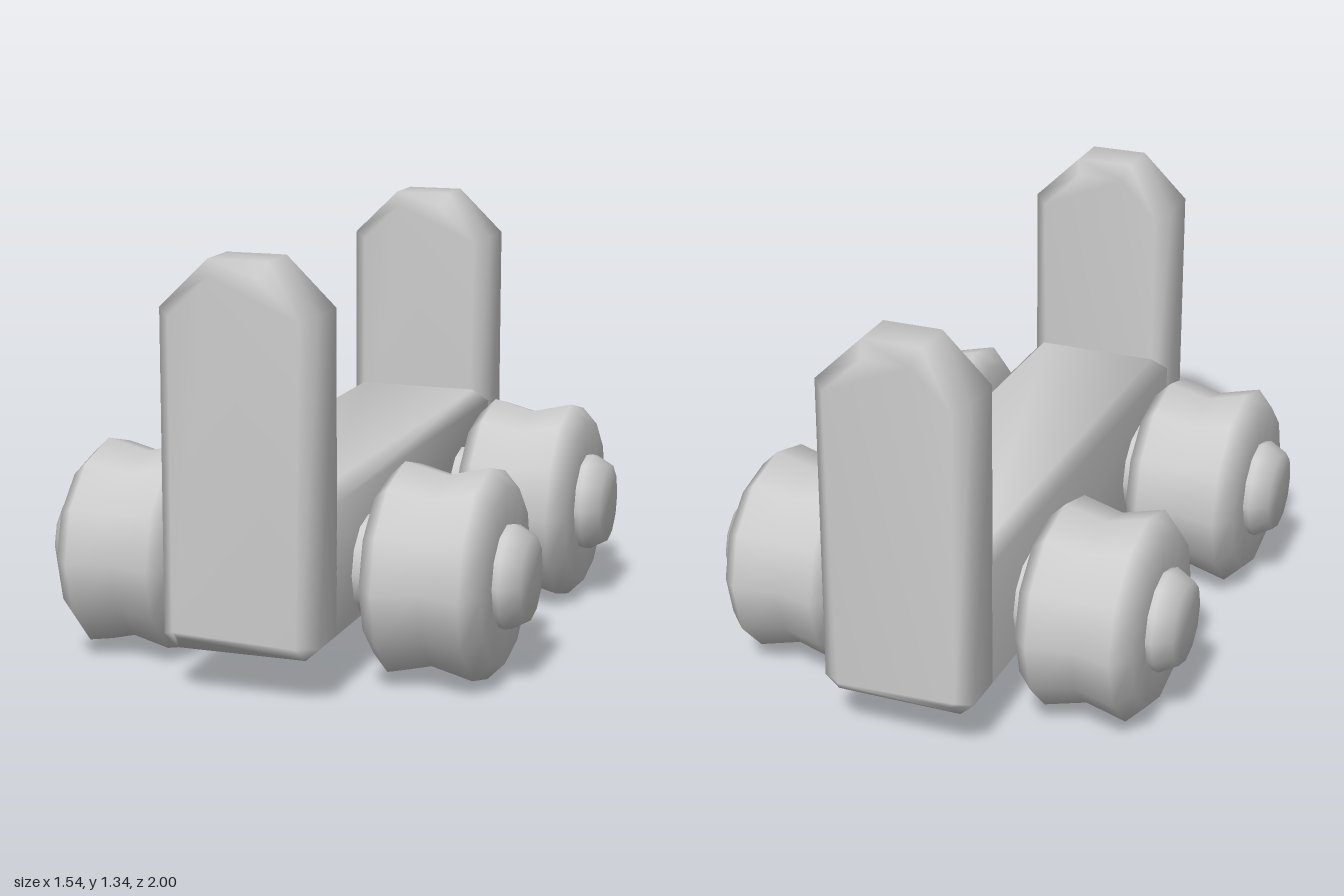
import * as THREE from 'three';
import { mergeVertices } from 'three/addons/utils/BufferGeometryUtils.js';

const material = new THREE.MeshStandardMaterial({ color: 0xcccccc });
const BEVEL = 0.045;

// Weld corners and share area-weighted normals, so bevels look soft
function soften(geometry) {
  geometry.deleteAttribute('uv');
  geometry.deleteAttribute('normal');
  const welded = mergeVertices(geometry, 1e-4);
  welded.computeVertexNormals();
  return welded;
}

function addMesh(parent, name, geometry, x = 0, y = 0, z = 0) {
  const mesh = new THREE.Mesh(geometry, material);
  mesh.name = name;
  mesh.position.set(x, y, z);
  parent.add(mesh);
  return mesh;
}

// Front outline extruded along z, from z0 to z1
function slab(outline, z0, z1, bevel) {
  const shape = new THREE.Shape(outline.map(([x, y]) => new THREE.Vector2(x, y)));
  const geometry = new THREE.ExtrudeGeometry(shape, {
    depth: z1 - z0 - 2 * bevel,
    bevelEnabled: bevel > 0,
    bevelThickness: bevel, bevelSize: bevel, bevelOffset: -bevel, bevelSegments: 1,
  });
  geometry.translate(0, 0, z0 + bevel);
  return soften(geometry);
}

// Twelve-sided turned part lying along x; profile is [radius, x]
function turned(profile) {
  const points = profile.map(([r, x]) => new THREE.Vector2(r, x));
  const geometry = new THREE.LatheGeometry(points, 12);
  geometry.rotateZ(-Math.PI / 2);
  return soften(geometry);
}

export function createModel() {
  const model = new THREE.Group();
  model.name = 'cart';

  // Chassis beam with chamfered long edges
  const left = 0.245, right = -0.255;
  const bottom = [[right, 0.19], [right + BEVEL, 0.15], [left - BEVEL, 0.15], [left, 0.19]];
  addMesh(model, 'beam', slab([
    ...bottom, [left, 0.60], [left - BEVEL, 0.645], [right + BEVEL, 0.645], [right, 0.60],
  ], -0.81, 0.81, 0));

  // End posts with cut top corners
  const postOutline = [...bottom, [left, 1.19], [0.09, 1.34], [-0.10, 1.34], [right, 1.19]];
  addMesh(model, 'frontPost', slab(postOutline, 0.76, 1, BEVEL));
  addMesh(model, 'backPost', slab(postOutline, -1, -0.76, BEVEL));

  // Axles with rounded hub ends, and grooved wheels
  const axle = turned([
    [0, -0.77], [0.133, -0.77], [0.166, -0.71], [0.157, -0.67],
    [0.157, 0.67], [0.166, 0.71], [0.133, 0.77], [0, 0.77],
  ]);
  const wheel = turned([
    [0.12, -0.19], [0.28, -0.19], [0.335, -0.135], [0.302, 0],
    [0.335, 0.135], [0.28, 0.19], [0.12, 0.19],
  ]);
  for (const [end, z] of [['front', 0.515], ['back', -0.485]]) {
    addMesh(model, `${end}Axle`, axle, 0, 0.34, z);
    addMesh(model, `${end}LeftWheel`, wheel, 0.5, 0.34, z);
    addMesh(model, `${end}RightWheel`, wheel, -0.5, 0.34, z);
  }
  return model;
}
